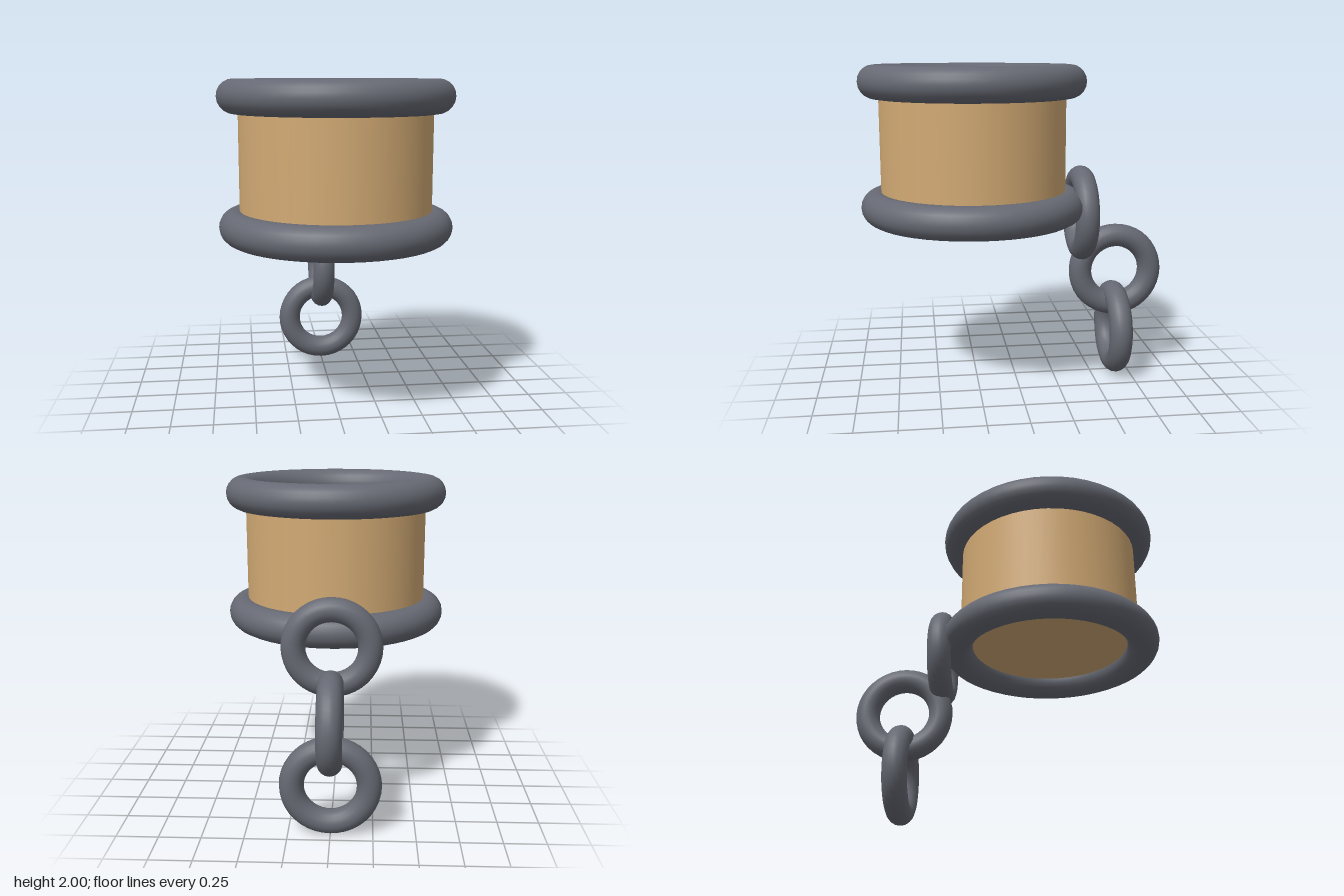
import * as THREE from 'three';

export function createModel() {
  const model = new THREE.Group();
  const wood = new THREE.MeshStandardMaterial({ color: 0xd2aa74 });
  const iron = new THREE.MeshStandardMaterial({ color: 0x666973 });

  const add = (name, geometry, material, x, y, z) => {
    const mesh = new THREE.Mesh(geometry, material);
    mesh.name = name;
    mesh.position.set(x, y, z);
    model.add(mesh);
    return mesh;
  };

  // Drum with a flat cap at the middle height of each rim
  const drumZ = 0.258, lowY = 1.14, highY = 1.9;
  add('drum', new THREE.CylinderGeometry(0.57, 0.57, highY - lowY, 48), wood, 0, (lowY + highY) / 2, drumZ);

  // Thick round rims
  const rim = new THREE.TorusGeometry(0.593, 0.1, 20, 48);
  rim.rotateX(Math.PI / 2);
  add('topRim', rim, iron, 0, highY, drumZ);
  add('bottomRim', rim, iron, 0, lowY, drumZ);

  // Chain hanging at the back, every second link turned a quarter
  const link = new THREE.TorusGeometry(0.227, 0.073, 18, 40);
  [[1.07, -0.423], [0.69, -0.652], [0.303, -0.652]].forEach(([y, z], i) => {
    const mesh = add(`chainLink${i + 1}`, link, iron, 0, y, z);
    if (i % 2) mesh.rotation.y = Math.PI / 2;
  });

  return model;
}
